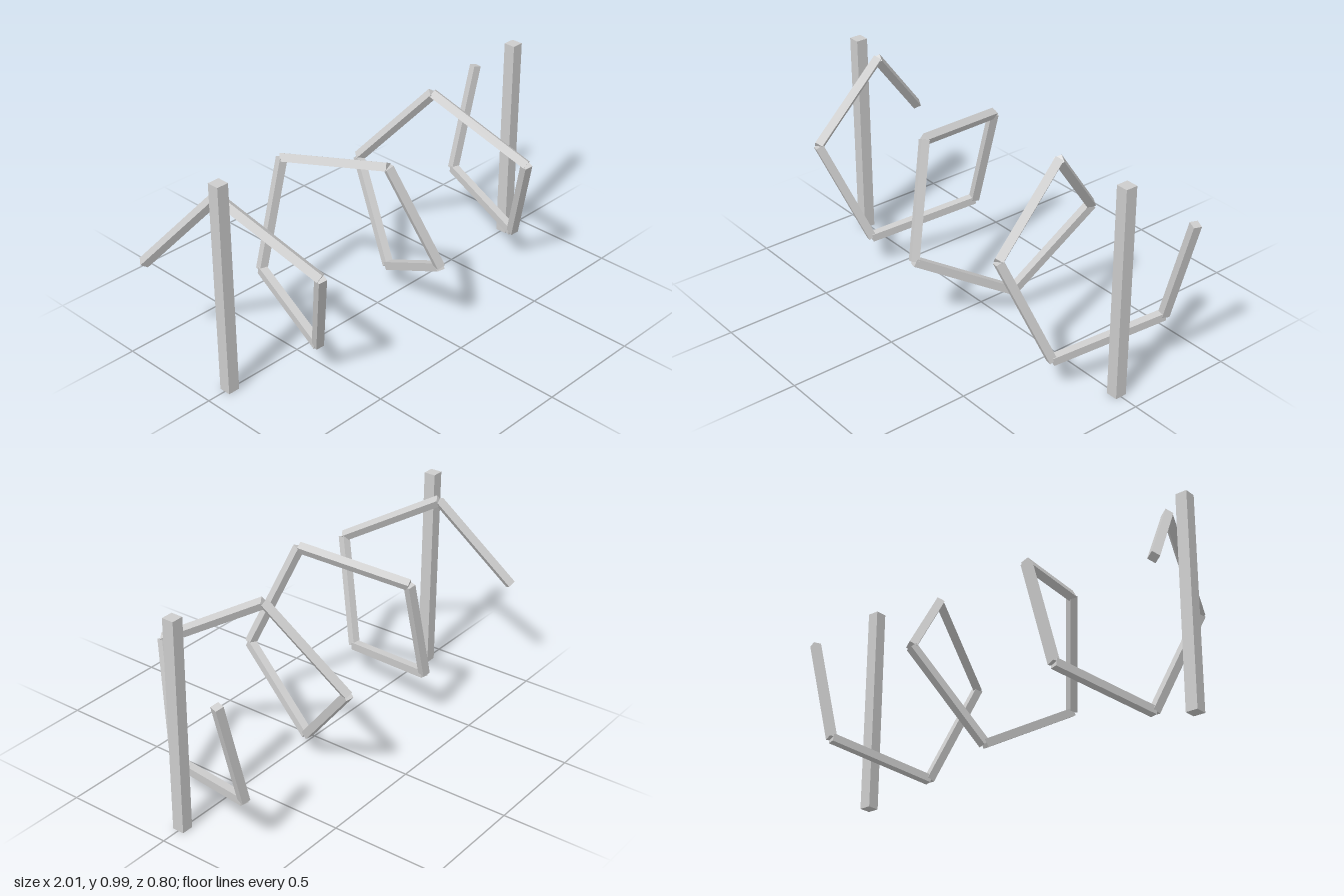
import * as THREE from 'three';

export function createModel() {
  const model = new THREE.Group();
  const grey = new THREE.MeshStandardMaterial({ color: 0xcccccc });
  grey.name = 'light grey';

  // Two upright square posts
  const postHeight = 0.985;
  for (const side of [-1, 1]) {
    const post = new THREE.Mesh(new THREE.BoxGeometry(0.055, postHeight, 0.055), grey);
    post.name = side > 0 ? 'leftPost' : 'rightPost';
    post.position.set(side * 0.885, postHeight / 2, 0);
    model.add(post);
  }

  // Helix corners: one every 80 degrees around the x axis
  const segments = 14, radius = 0.39, pitch = 0.14;
  const corner = (i) => {
    const a = THREE.MathUtils.degToRad(80 * i);
    return new THREE.Vector3(
      (i - segments / 2) * pitch,
      postHeight / 2 + radius * Math.sin(a),
      -radius * Math.cos(a)
    );
  };

  // Straight square bars from corner to corner
  const helix = new THREE.Group();
  helix.name = 'helix';
  const forward = new THREE.Vector3(0, 0, -1);
  for (let i = 0; i < segments; i++) {
    const a = corner(i), b = corner(i + 1);
    const bar = new THREE.Mesh(new THREE.BoxGeometry(0.037, 0.037, a.distanceTo(b)), grey);
    bar.name = `helixBar${i + 1}`;
    bar.position.copy(a).add(b).multiplyScalar(0.5);
    bar.quaternion.setFromUnitVectors(forward, b.sub(a).normalize());
    helix.add(bar);
  }
  model.add(helix);
  return model;
}
